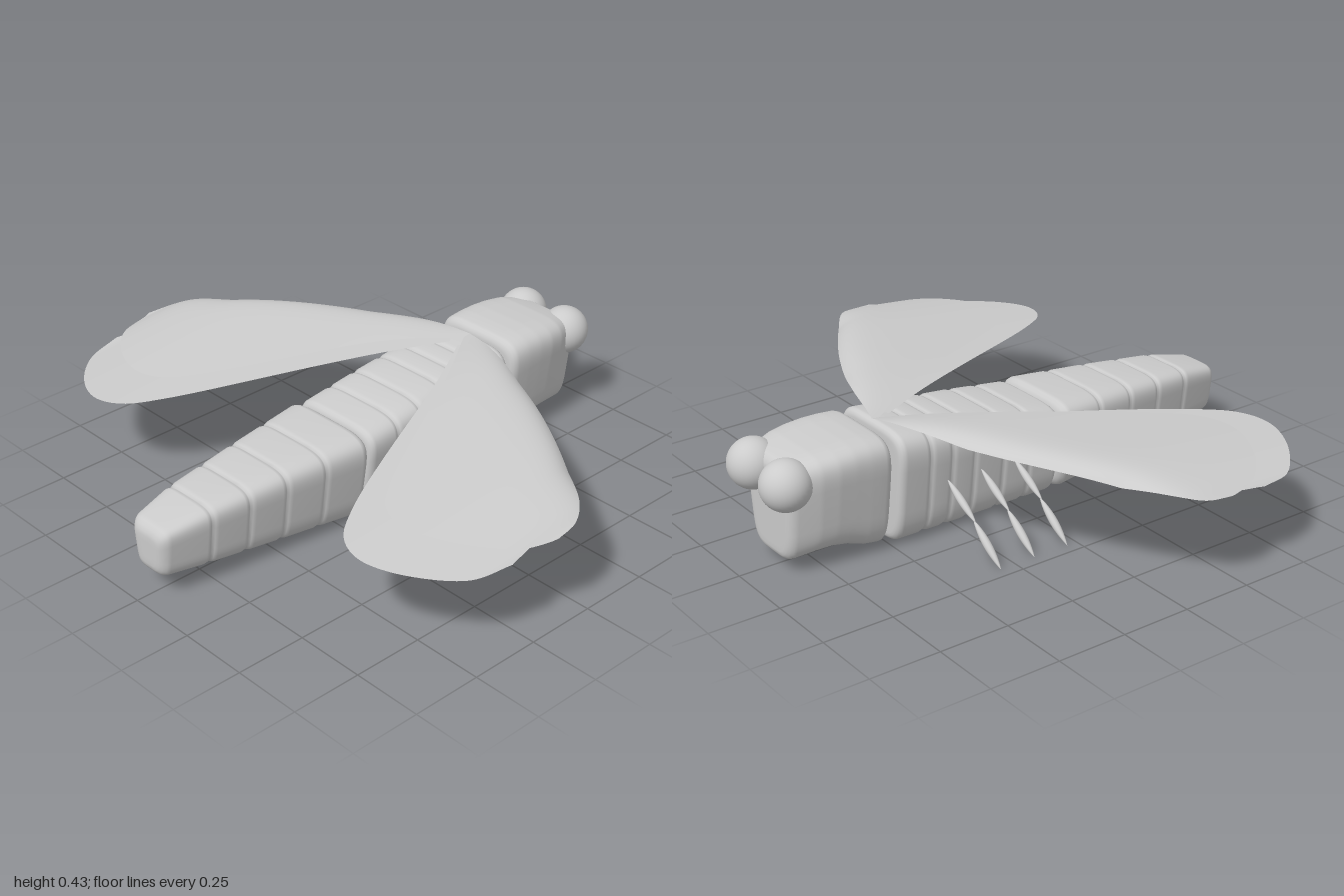
import * as THREE from 'three';

const grey = new THREE.MeshStandardMaterial({ color: 0xcccccc });
const sheet = new THREE.MeshStandardMaterial({ color: 0xcccccc, side: THREE.DoubleSide });

// Linear lookup in rows of [key, value, value...], keys rising
function lookup(rows, k) {
  let i = 0;
  while (i < rows.length - 2 && k > rows[i + 1][0]) i++;
  const a = rows[i], b = rows[i + 1];
  const t = THREE.MathUtils.clamp((k - a[0]) / (b[0] - a[0]), 0, 1);
  return a.slice(1).map((v, n) => v + (b[n + 1] - v) * t);
}

function addMesh(parent, name, geometry, material = grey) {
  const mesh = new THREE.Mesh(geometry, material);
  mesh.name = name;
  parent.add(mesh);
  return mesh;
}

function indexed(positions, indices) {
  const g = new THREE.BufferGeometry();
  g.setAttribute('position', new THREE.Float32BufferAttribute(positions, 3));
  g.setIndex(indices);
  g.computeVertexNormals();
  return g;
}

// Rounded trapezoid skin along x. profile rows: [x, bottom, top, halfWidth]; rings: [x, inset]
function loft(profile, rings, taper = 0.25, sides = 64) {
  const pos = [], idx = [];
  const pow = (v) => Math.sign(v) * Math.abs(v) ** 0.42;
  rings.forEach(([x, inset]) => {
    const [lo, hi, w] = lookup(profile, x);
    const half = Math.max(0, (hi - lo) / 2 - inset), wide = Math.max(0, w - inset);
    const closed = half === 0 || wide === 0;
    for (let j = 0; j < sides; j++) {
      const a = (j / sides) * Math.PI * 2;
      const u = pow(Math.cos(a)), v = pow(Math.sin(a));
      const z = closed ? 0 : wide * u * (1 + ((v - 1) / 2) * taper);
      pos.push(x, (lo + hi) / 2 + (closed ? 0 : half * v), z);
    }
  });
  for (let i = 0; i < rings.length - 1; i++) {
    for (let j = 0; j < sides; j++) {
      const a = i * sides + j, b = i * sides + ((j + 1) % sides), c = a + sides, d = b + sides;
      idx.push(a, c, b, b, c, d);
    }
  }
  return indexed(pos, idx);
}

// Rings for a body split into segments by shallow grooves, with rounded closed ends
function segmentRings(cuts, groove, round) {
  const first = cuts[0], last = cuts[cuts.length - 1];
  const arc = [0, 0.25, 0.5, 0.75, 1].map((t) => {
    const a = (t * Math.PI) / 2;
    return [round * (1 - Math.cos(a)), round * (1 - Math.sin(a))];
  });
  const rings = [[first, 1], [first, round * 1.6]];
  arc.forEach(([d, inset]) => rings.push([first + d, inset]));
  cuts.slice(1, -1).forEach((x) => {
    rings.push([x - 0.02, 0], [x - 0.008, groove * 0.35], [x, groove], [x + 0.008, groove * 0.35], [x + 0.02, 0]);
  });
  arc.reverse().forEach(([d, inset]) => rings.push([last - d, inset]));
  rings.push([last, round * 1.6], [last, 1]);
  return rings;
}

// Arched wing sheet. Edge points are [x, z]; crown rows are [z, height]
function wing(side, lead, trail, crown, slope, curl) {
  const curve = (pts) => new THREE.CatmullRomCurve3(pts.map(([x, z]) => new THREE.Vector3(x, 0, z)), false, 'centripetal');
  const L = curve(lead).getSpacedPoints(300), T = curve(trail).getSpacedPoints(300);
  const xAt = (pts, z) => lookup(pts.map((p) => [p.z, p.x]), z)[0];
  const crest = new THREE.SplineCurve(crown.map(([z, y]) => new THREE.Vector2(z, y))).getPoints(80).map((p) => [p.x, p.y]);
  const rows = 56, cols = 20, pos = [], idx = [];
  const zEnd = lead[lead.length - 1][1];
  for (let i = 0; i <= rows; i++) {
    const z = zEnd * Math.sin((i / rows) * Math.PI / 2);
    const x0 = xAt(L, z), x1 = xAt(T, z), [y] = lookup(crest, z);
    const droop = curl * Math.min(1, z / 0.35) * Math.min(1, (zEnd - z) / 0.2);
    for (let j = 0; j <= cols; j++) {
      const d = (x0 - x1) * (j / cols) ** 1.6;
      pos.push(x0 - d, y - slope * d - droop * Math.exp(-d / 0.045), side * z);
    }
  }
  for (let i = 0; i < rows; i++) {
    for (let j = 0; j < cols; j++) {
      const a = i * (cols + 1) + j, b = a + 1, c = a + cols + 1, d = c + 1;
      if (side > 0) idx.push(a, b, c, b, d, c);
      else idx.push(a, c, b, b, c, d);
    }
  }
  return indexed(pos, idx);
}

// Spindle-shaped leg piece between two points
function spindle(parent, name, from, to, radius) {
  const dir = to.clone().sub(from), pts = [];
  for (let i = 0; i <= 12; i++) {
    const t = i / 12;
    pts.push(new THREE.Vector2(radius * Math.sin(Math.PI * t) ** 0.8, (t - 0.5) * dir.length()));
  }
  const m = addMesh(parent, name, new THREE.LatheGeometry(pts, 12));
  m.position.copy(from).add(to).multiplyScalar(0.5);
  m.quaternion.setFromUnitVectors(new THREE.Vector3(0, 1, 0), dir.normalize());
}

export function createModel() {
  const model = new THREE.Group();
  model.name = 'insect';

  // Tapering abdomen
  addMesh(model, 'abdomen', loft(
    [[-0.95, 0.085, 0.255, 0.085], [-0.88, 0.078, 0.277, 0.105], [-0.77, 0.065, 0.295, 0.125],
      [-0.5, 0.035, 0.32, 0.16], [-0.2, 0.005, 0.34, 0.2], [-0.165, 0.005, 0.34, 0.2]],
    segmentRings([-0.95, -0.77, -0.63, -0.49, -0.34, -0.165], 0.009, 0.035)));

  // Ribbed thorax
  addMesh(model, 'thorax', loft(
    [[-0.158, 0.004, 0.335, 0.195], [0.1, 0.002, 0.37, 0.196], [0.49, 0.002, 0.41, 0.197]],
    segmentRings([-0.158, -0.03, 0.08, 0.2, 0.29, 0.375, 0.494], 0.01, 0.025)));

  // Head with a hollowed chin
  const headRings = segmentRings([0.52, 0.6, 0.66, 0.72, 0.78, 0.88], 0, 0.03);
  addMesh(model, 'head', loft(
    [[0.52, 0.012, 0.412, 0.195], [0.6, 0.025, 0.418, 0.197], [0.66, 0.047, 0.418, 0.197],
      [0.72, 0.058, 0.414, 0.195], [0.78, 0.056, 0.408, 0.185], [0.85, 0.045, 0.392, 0.16], [0.88, 0.042, 0.38, 0.15]],
    headRings, 0.27));

  for (const side of [1, -1]) {
    const label = side > 0 ? 'left' : 'right';

    // Bulging eye
    addMesh(model, label + 'Eye', new THREE.SphereGeometry(0.086, 32, 24)).position.set(0.872, 0.326, side * 0.1);

    // Upper wing, with its front edge curled down
    addMesh(model, label + 'ForeWing', wing(side,
      [[0.485, 0], [0.425, 0.2], [0.29, 0.5], [0.105, 0.8], [0, 0.94], [-0.07, 0.985], [-0.16, 1]],
      [[0.455, 0], [0.2, 0.17], [-0.35, 0.47], [-0.445, 0.55], [-0.478, 0.66], [-0.42, 0.82], [-0.3, 0.95], [-0.16, 1]],
      [[0, 0.41], [0.1, 0.432], [0.25, 0.445], [0.5, 0.44], [0.7, 0.427], [0.85, 0.403], [0.94, 0.377], [1, 0.342]],
      0.1, 0.045), sheet);

    // Lower wing
    addMesh(model, label + 'HindWing', wing(side,
      [[0.47, 0], [0.35, 0.2], [0.15, 0.5], [-0.06, 0.8], [-0.18, 0.93], [-0.33, 0.972]],
      [[0.44, 0], [0.2, 0.13], [-0.5, 0.46], [-0.62, 0.55], [-0.654, 0.65], [-0.61, 0.78], [-0.47, 0.93], [-0.33, 0.972]],
      [[0, 0.405], [0.3, 0.402], [0.6, 0.38], [0.8, 0.352], [0.972, 0.314]],
      0.07, 0), sheet);

    // Three jointed legs
    [0.04, 0.175, 0.31].forEach((x, i) => {
      const leg = new THREE.Group();
      leg.name = label + 'Leg' + (i + 1);
      const at = (y, z) => new THREE.Vector3(x, y, side * z);
      spindle(leg, 'upperLeg', at(0.208, 0.17), at(0.112, 0.328), 0.013);
      spindle(leg, 'lowerLeg', at(0.12, 0.312), at(0.003, 0.462), 0.014);
      model.add(leg);
    });
  }
  return model;
}
